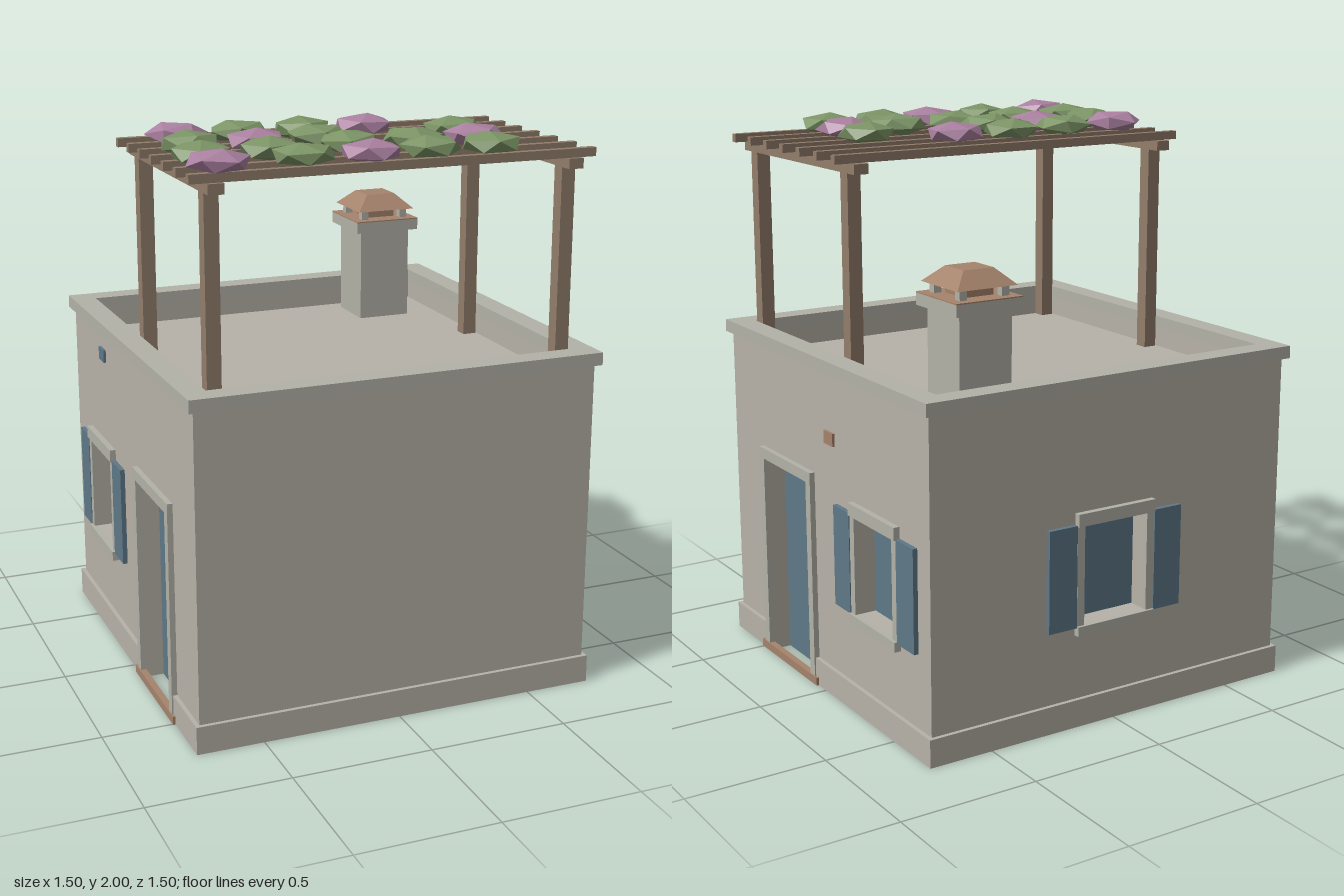
import * as THREE from 'three';

const mat = (name, color, flat = false) => {
  const m = new THREE.MeshStandardMaterial({ color, flatShading: flat });
  m.name = name;
  return m;
};

export function createModel() {
  const plaster = mat('plaster', 0xb7b2a8);
  const trim = mat('stone trim', 0xb3b2a8);
  const wood = mat('weathered wood', 0x927d6b);
  const clay = mat('terracotta', 0xa5836c, true);
  const blue = mat('blue paint', 0x5f7888);
  const leaf = mat('leaves', 0x7c9466, true);
  const bloom = mat('blossom', 0xaa80a0, true);

  const house = new THREE.Group();
  house.name = 'house';
  const add = (parent, name, geo, m, x = 0, y = 0, z = 0) => {
    const mesh = new THREE.Mesh(geo, m);
    mesh.name = name;
    mesh.position.set(x, y, z);
    parent.add(mesh);
    return mesh;
  };
  // Box given by its limits on each axis
  const box = (parent, name, m, x0, x1, y0, y1, z0, z1) =>
    add(parent, name, new THREE.BoxGeometry(x1 - x0, y1 - y0, z1 - z0), m,
      (x0 + x1) / 2, (y0 + y1) / 2, (z0 + z1) / 2);
  const group = (name, x, z, turn) => {
    const g = new THREE.Group();
    g.name = name;
    g.position.set(x, 0, z);
    g.rotation.y = turn;
    house.add(g);
    return g;
  };

  const OUT = 0.725, IN = 0.66, TOP = 1.19, CAP = 0.745;

  // Walls with window holes and door notches
  const windowHole = (u) => {
    const p = new THREE.Path();
    p.moveTo(u - 0.13, 0.37).lineTo(u - 0.13, 0.725).lineTo(u + 0.13, 0.725).lineTo(u + 0.13, 0.37).closePath();
    return p;
  };
  const extrude = (s) => new THREE.ExtrudeGeometry(s, { depth: OUT - IN, bevelEnabled: false });
  const side = new THREE.Shape();
  side.moveTo(-IN, 0).lineTo(-0.45, 0).lineTo(-0.45, 0.76).lineTo(-0.11, 0.76)
    .lineTo(-0.11, 0).lineTo(IN, 0).lineTo(IN, TOP).lineTo(-IN, TOP).closePath();
  side.holes.push(windowHole(0.37));
  for (const x of [IN, -OUT]) add(house, 'sideWall', extrude(side), plaster, x).rotation.y = Math.PI / 2;
  const back = new THREE.Shape();
  back.moveTo(-OUT, 0).lineTo(OUT, 0).lineTo(OUT, TOP).lineTo(-OUT, TOP).closePath();
  back.holes.push(windowHole(0));
  add(house, 'backWall', extrude(back), plaster, 0, 0, -OUT);
  box(house, 'frontWall', plaster, -OUT, OUT, 0, TOP, IN, OUT);

  // Roof deck, parapet coping and plinth
  box(house, 'roofDeck', plaster, -IN, IN, 1.07, 1.12, -IN, IN);
  for (const s of [-1, 1]) {
    const span = (a, b) => (s > 0 ? [a, b] : [-b, -a]);
    box(house, 'coping', trim, -CAP, CAP, TOP, 1.235, ...span(IN, CAP));
    box(house, 'coping', trim, ...span(IN, CAP), TOP, 1.235, -IN, IN);
    box(house, 'plinth', plaster, -0.74, 0.74, 0, 0.1, ...span(OUT, 0.74));
    box(house, 'plinth', plaster, ...span(OUT, 0.74), 0, 0.1, 0.485, OUT);
    box(house, 'plinth', plaster, ...span(OUT, 0.74), 0, 0.1, -OUT, 0.075);
  }

  // Windows, built facing +z with the wall surface at z = 0
  const makeWindow = (x, z, turn) => {
    const g = group('window', x, z, turn);
    box(g, 'pane', blue, -0.132, 0.132, 0.368, 0.727, -0.08, -0.065);
    box(g, 'lintel', trim, -0.16, 0.16, 0.725, 0.77, 0, 0.022);
    box(g, 'sill', trim, -0.16, 0.16, 0.335, 0.37, 0, 0.025);
    for (const s of [-1, 1]) {
      const jamb = box(g, 'jamb', trim, 0.13, 0.16, 0.37, 0.725, 0, 0.015);
      const shutter = box(g, 'shutter', blue, 0.162, 0.275, 0.365, 0.73, 0, 0.017);
      jamb.position.x *= s;
      shutter.position.x *= s;
    }
  };
  makeWindow(OUT, -0.37, Math.PI / 2);
  makeWindow(-OUT, -0.37, -Math.PI / 2);
  makeWindow(0, -OUT, Math.PI);

  // Doors on both sides
  for (const s of [-1, 1]) {
    const g = group('door', s * OUT, 0.28, s * Math.PI / 2);
    box(g, 'doorPanel', blue, -0.172, 0.172, 0, 0.762, -0.08, -0.065);
    box(g, 'doorHead', trim, -0.205, 0.205, 0.76, 0.8, 0, 0.02);
    for (const k of [-1, 1]) box(g, 'doorJamb', trim, -0.0175, 0.0175, 0, 0.76, 0, 0.02).position.x = k * 0.1875;
    box(g, 'threshold', clay, -0.225, 0.225, 0, 0.03, 0, 0.024);
  }

  // Small wall tiles
  box(house, 'wallTile', clay, OUT, 0.734, 0.933, 0.98, -0.085, -0.02);
  box(house, 'wallTile', blue, -0.734, -OUT, 1.08, 1.127, -0.365, -0.3);

  // Chimney
  const chimney = group('chimney', 0.4375, -0.505, 0);
  box(chimney, 'stack', trim, -0.1, 0.1, 1.12, 1.465, -0.1, 0.1);
  box(chimney, 'slab', trim, -0.127, 0.127, 1.465, 1.506, -0.127, 0.127);
  box(chimney, 'slabTile', clay, -0.127, 0.127, 1.506, 1.51, -0.127, 0.127);
  box(chimney, 'flue', clay, -0.057, 0.057, 1.51, 1.55, -0.057, 0.057);
  for (const x of [-0.08, 0.08]) for (const z of [-0.08, 0.08])
    box(chimney, 'capPost', trim, x - 0.014, x + 0.014, 1.51, 1.548, z - 0.014, z + 0.014);
  const r2 = Math.SQRT2;
  add(chimney, 'hood', new THREE.CylinderGeometry(0.057 * r2, 0.115 * r2, 0.055, 4), clay, 0, 1.5725, 0)
    .rotation.y = Math.PI / 4;

  // Pergola posts, beams and slats
  for (const x of [-0.63, 0.63]) {
    for (const z of [-0.062, 0.635])
      box(house, 'pergolaPost', wood, x - 0.025, x + 0.025, 1.12, 1.87, z - 0.025, z + 0.025);
    box(house, 'pergolaBeam', wood, x - 0.027, x + 0.027, 1.87, 1.905, -0.14, 0.71);
  }
  for (let i = 0; i < 7; i++) {
    const z = -0.097 + i * 0.1295;
    box(house, 'pergolaSlat', wood, -0.713, 0.713, 1.905, 1.935, z - 0.0135, z + 0.0135);
  }

  // Climbing plant clumps: x, z, blossom or leaf
  const clumps = [
    [-0.55, 0.065, 1], [-0.33, 0.075, 0], [-0.1, 0.075, 0], [0.13, 0.08, 1],
    [-0.565, 0.25, 0], [-0.335, 0.26, 1], [-0.115, 0.26, 0], [0.395, 0.255, 0],
    [-0.59, 0.445, 0], [-0.355, 0.445, 0], [-0.065, 0.42, 0], [0.16, 0.43, 0], [0.385, 0.44, 1],
    [-0.595, 0.63, 1], [-0.3, 0.605, 0], [-0.075, 0.62, 1], [0.14, 0.615, 0], [0.36, 0.615, 0],
  ];
  let seed = 7;
  const rnd = () => (seed = (seed * 16807) % 2147483647) / 2147483647;
  for (const [x, z, flower] of clumps) {
    const geo = new THREE.IcosahedronGeometry(0.108, 0);
    geo.rotateX(rnd() * 6).rotateY(rnd() * 6).scale(1.03, 0.38, 0.95);
    geo.computeBoundingBox();
    add(house, flower ? 'blossomClump' : 'leafClump', geo, flower ? bloom : leaf,
      x, 2 - geo.boundingBox.max.y, z);
  }
  return house;
}
